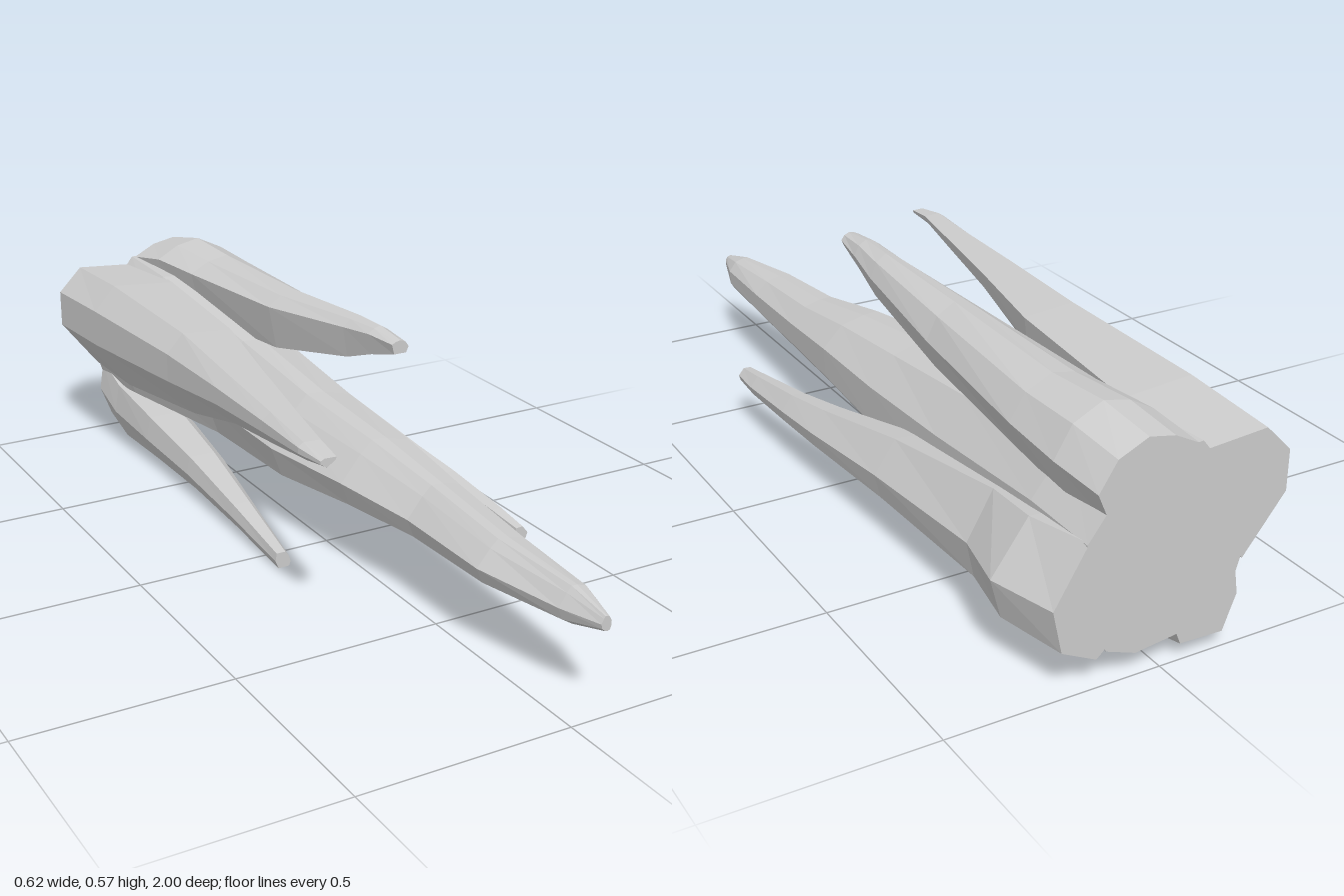
import * as THREE from 'three';

// Faceted spike: a unit outline (counter-clockwise from the front) is fitted
// into a box [z, x0, x1, y0, y1] at each ring, listed from base to tip.
function spike(name, material, outline, rings) {
  const n = outline.length;
  const positions = [];
  const index = [];
  for (const [z, x0, x1, y0, y1] of rings) {
    for (const [u, v] of outline) positions.push(x0 + u * (x1 - x0), y0 + v * (y1 - y0), z);
  }
  for (let r = 0; r < rings.length - 1; r++) {
    for (let i = 0; i < n; i++) {
      const a = r * n + i;
      const b = r * n + (i + 1) % n;
      index.push(a, b, b + n, a, b + n, a + n);
    }
  }
  // flat caps at the base and the blunt tip
  const last = (rings.length - 1) * n;
  const pts = outline.map(([u, v]) => new THREE.Vector2(u, v));
  for (const [a, b, c] of THREE.ShapeUtils.triangulateShape(pts, [])) {
    index.push(c, b, a, last + a, last + b, last + c);
  }
  const indexed = new THREE.BufferGeometry();
  indexed.setAttribute('position', new THREE.Float32BufferAttribute(positions, 3));
  indexed.setIndex(index);
  const geometry = indexed.toNonIndexed(); // separate faces give flat facets
  geometry.computeVertexNormals();
  const mesh = new THREE.Mesh(geometry, material);
  mesh.name = name;
  return mesh;
}

export function createModel() {
  const group = new THREE.Group();
  group.name = 'spikeCluster';
  const stone = new THREE.MeshStandardMaterial({ color: 0xcccccc });
  stone.name = 'greyStone';

  // long central spike
  group.add(spike('mainSpike', stone,
    [[0.1, 0.22], [0.42, 0.03], [0.68, 0], [0.86, 0.06], [0.98, 0.25], [1, 0.64], [0.78, 0.91], [0.52, 0.99], [0.35, 1], [0.22, 0.85], [0, 0.52]],
    [
      [-1, -0.21, 0.19, 0.055, 0.495],
      [-0.8, -0.2, 0.19, 0.075, 0.485],
      [-0.4, -0.13, 0.18, 0.105, 0.41],
      [-0.07, -0.115, 0.17, 0.115, 0.37],
      [0.2, -0.073, 0.16, 0.145, 0.34],
      [0.42, -0.03, 0.145, 0.155, 0.305],
      [0.68, -0.02, 0.13, 0.16, 0.28],
      [0.9, 0.03, 0.115, 0.17, 0.26],
      [1, 0.06, 0.085, 0.2, 0.235],
    ]));

  // upper spike on the right-hand side
  group.add(spike('upperSideSpike', stone,
    [[0.4, 0], [0.95, 0.65], [1, 0.95], [0.25, 1], [0, 0.78], [0, 0.45]],
    [
      [-1, -0.29, -0.04, 0.2, 0.485],
      [-0.75, -0.287, -0.06, 0.21, 0.497],
      [-0.3, -0.28, -0.105, 0.28, 0.495],
      [0, -0.292, -0.17, 0.36, 0.487],
      [0.25, -0.3, -0.22, 0.4, 0.48],
      [0.43, -0.31, -0.255, 0.433, 0.476],
      [0.51, -0.3, -0.262, 0.445, 0.466],
    ]));

  // top spike
  group.add(spike('topSpike', stone,
    [[0.14, 0], [0.85, 0], [1, 0.45], [0.82, 0.82], [0.52, 1], [0.25, 0.93], [0, 0.76]],
    [
      [-1, -0.06, 0.17, 0.36, 0.535],
      [-0.87, -0.045, 0.187, 0.37, 0.56],
      [-0.7, -0.025, 0.182, 0.39, 0.552],
      [-0.3, 0.002, 0.148, 0.415, 0.56],
      [0, 0.045, 0.13, 0.475, 0.575],
      [0.1, 0.055, 0.12, 0.51, 0.577],
      [0.19, 0.065, 0.11, 0.535, 0.567],
    ]));

  // lower spike on the left-hand side
  group.add(spike('lowerSideSpike', stone,
    [[0, 0.3], [0.45, 0], [0.88, 0.15], [1, 0.52], [0.6, 1], [0.1, 0.97]],
    [
      [-1, 0.07, 0.262, 0.07, 0.34],
      [-0.84, 0.09, 0.305, 0.078, 0.33],
      [-0.68, 0.11, 0.265, 0.08, 0.31],
      [-0.3, 0.15, 0.28, 0.097, 0.26],
      [0, 0.205, 0.295, 0.105, 0.21],
      [0.15, 0.232, 0.3, 0.11, 0.19],
      [0.34, 0.25, 0.3, 0.11, 0.165],
      [0.43, 0.258, 0.294, 0.115, 0.152],
    ]));

  // short bottom spike
  group.add(spike('bottomSpike', stone,
    [[0.2, 0], [0.88, 0.02], [1, 0.3], [0.88, 0.7], [0.65, 1], [0.08, 1], [0, 0.5]],
    [
      [-1, -0.185, -0.03, 0.038, 0.2],
      [-0.88, -0.19, -0.025, 0.01, 0.165],
      [-0.65, -0.195, -0.035, 0.022, 0.145],
      [-0.4, -0.192, -0.07, 0.028, 0.12],
      [-0.15, -0.188, -0.11, 0.02, 0.082],
      [0.08, -0.184, -0.143, 0.003, 0.043],
    ]));

  return group;
}
